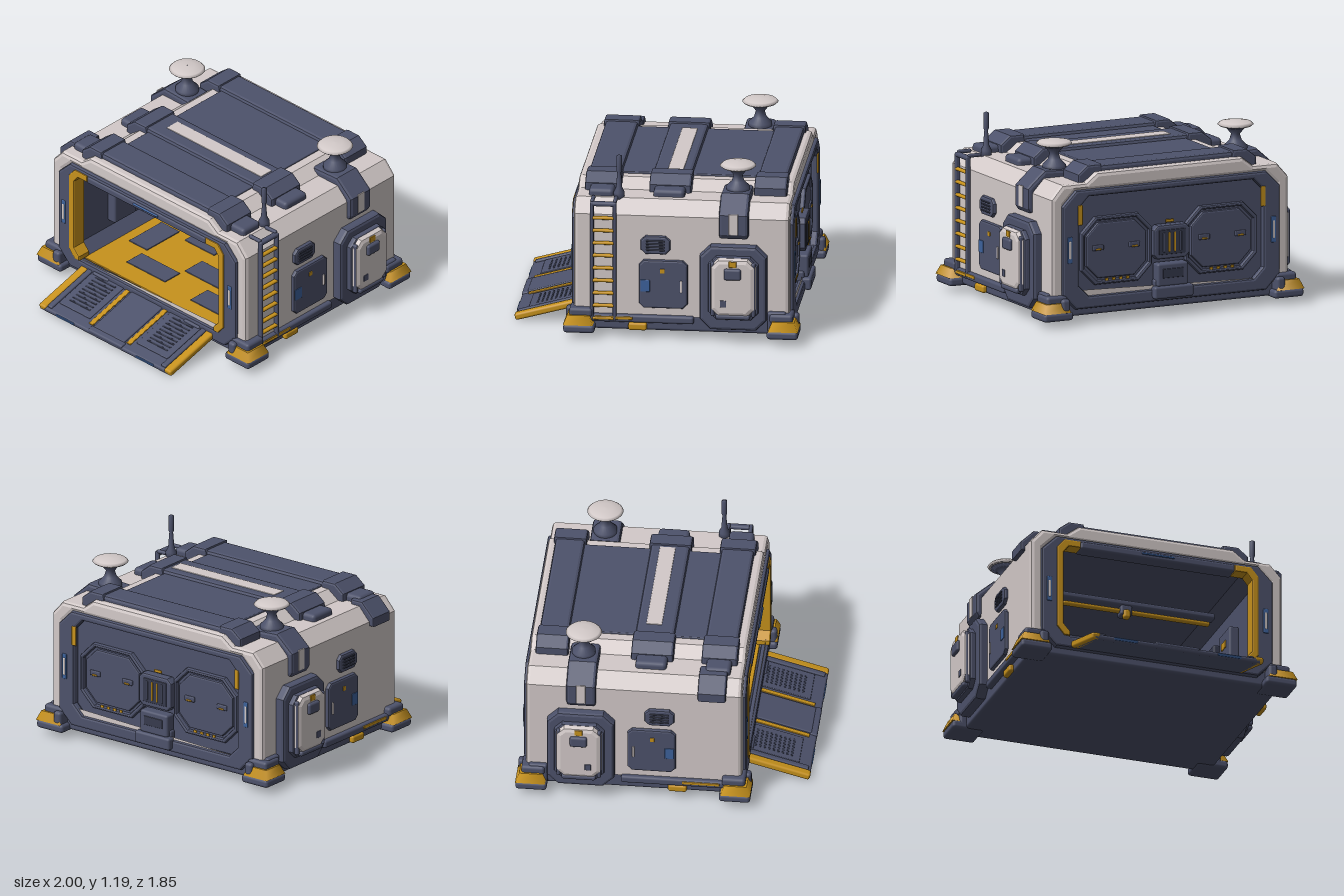
import * as THREE from 'three';
import { RoundedBoxGeometry } from 'three/addons/geometries/RoundedBoxGeometry.js';

const paint = (name, color) => Object.assign(new THREE.MeshStandardMaterial({ color }), { name });
const slate = paint('slate', 0x4d526b);
const white = paint('offWhite', 0xd3cac9);
const yellow = paint('amber', 0xc7921c);
const blue = paint('blue', 0x3d629c);
const shade = paint('darkSlate', 0x363a4d);

export function createModel() {
  const root = new THREE.Group();
  root.name = 'hangar';

  const add = (parent, name, geo, mat, x = 0, y = 0, z = 0) => {
    const m = new THREE.Mesh(geo, mat);
    m.name = name;
    m.position.set(x, y, z);
    parent.add(m);
    return m;
  };
  // softly rounded box, given by its centre
  const box = (parent, name, mat, w, h, d, x, y, z, r = 0.015) =>
    add(parent, name, new RoundedBoxGeometry(w, h, d, 2, Math.min(r, Math.min(w, h, d) * 0.45)), mat, x, y, z);
  // box given by its limits
  const span = (parent, name, mat, x0, x1, y0, y1, z0, z1, r) =>
    box(parent, name, mat, x1 - x0, y1 - y0, z1 - z0, (x0 + x1) / 2, (y0 + y1) / 2, (z0 + z1) / 2, r);
  const shapeOf = pts => new THREE.Shape(pts.map(p => new THREE.Vector2(p[0], p[1])));
  // rectangle with cut corners
  const oct = (x0, x1, y0, y1, c) => [[x0 + c, y0], [x1 - c, y0], [x1, y0 + c], [x1, y1 - c],
    [x1 - c, y1], [x0 + c, y1], [x0, y1 - c], [x0, y0 + c]];
  // bevelled outline swept from z0 to z1, optionally with a hole
  const sweep = (parent, name, mat, pts, z0, z1, bevel = 0.012, hole) => {
    const s = shapeOf(pts);
    if (hole) s.holes.push(shapeOf(hole));
    const g = new THREE.ExtrudeGeometry(s, { depth: z1 - z0 - 2 * bevel, bevelEnabled: bevel > 0,
      bevelThickness: bevel, bevelSize: bevel, bevelOffset: -bevel, bevelSegments: 2 });
    return add(parent, name, g, mat, 0, 0, z0 + bevel);
  };
  // cut-corner panel on a side wall
  const sidePanel = (name, mat, z0, z1, y0, y1, c, x, depth, bevel = 0.012) => {
    const w = z1 - z0, h = y1 - y0;
    const g = new THREE.ExtrudeGeometry(shapeOf(oct(-w / 2, w / 2, -h / 2, h / 2, c)), { depth: depth - 2 * bevel,
      bevelEnabled: bevel > 0, bevelThickness: bevel, bevelSize: bevel, bevelOffset: -bevel, bevelSegments: 2 });
    g.center().rotateY(Math.PI / 2);
    return add(root, name, g, mat, x, (y0 + y1) / 2, (z0 + z1) / 2);
  };

  // Base, shell and lining
  span(root, 'base', slate, -0.84, 0.84, 0.06, 0.17, -0.84, 0.5, 0.02);
  const outline = [[-0.85, 0.16], [0.85, 0.16], [0.85, 0.83], [0.77, 0.92], [0.6, 0.92], [0.52, 0.98],
    [-0.52, 0.98], [-0.6, 0.92], [-0.77, 0.92], [-0.85, 0.83]];
  sweep(root, 'shell', white, outline, -0.86, 0.52, 0.025, oct(-0.76, 0.76, 0.165, 0.87, 0.08));
  sweep(root, 'lining', slate, oct(-0.765, 0.765, 0.155, 0.875, 0.08), -0.83, 0.5, 0,
    oct(-0.67, 0.67, 0.17, 0.84, 0.08));
  for (const [z0, z1] of [[0.49, 0.54], [-0.88, -0.83]])
    sweep(root, 'portalFrame', slate, oct(-0.78, 0.78, 0.11, 0.88, 0.1), z0, z1, 0.015,
      oct(-0.66, 0.66, 0.19, 0.835, 0.07));
  span(root, 'backWall', slate, -0.7, 0.7, 0.15, 0.86, -0.82, -0.76);

  // Front opening trim
  for (const s of [-1, 1]) {
    const trim = [[0.52, 0.86], [0.63, 0.86], [0.68, 0.8], [0.68, 0.25], [0.63, 0.19], [0.59, 0.19],
      [0.59, 0.22], [0.635, 0.27], [0.635, 0.77], [0.6, 0.815], [0.52, 0.815]];
    sweep(root, 'openingTrim', yellow, trim.map(p => [s * p[0], p[1]]), 0.45, 0.548, 0.008);
    for (const z of [0.54, -0.88]) {
      box(root, 'pillarLamp', blue, 0.035, 0.17, 0.012, s * 0.73, 0.5, z);
      box(root, 'pillarLampCore', white, 0.02, 0.12, 0.018, s * 0.73, 0.5, z);
    }
    box(root, 'backFrameCorner', yellow, 0.035, 0.13, 0.012, s * 0.655, 0.72, -0.878);
  }
  span(root, 'headerBar', slate, -0.52, 0.52, 0.81, 0.86, 0.44, 0.55);
  box(root, 'headerLamp', blue, 0.22, 0.014, 0.012, 0, 0.84, 0.552);

  // Floor of the bay with dark worn plates
  span(root, 'bayFloor', yellow, -0.62, 0.62, 0.16, 0.182, -0.75, 0.48, 0.004);
  const worn = [[-0.4, -0.5, 0.3, 0.16], [0.15, -0.55, 0.4, 0.12], [0.42, -0.25, 0.18, 0.3], [-0.15, -0.2, 0.26, 0.2],
    [-0.45, 0, 0.16, 0.3], [0.12, 0.08, 0.3, 0.16], [-0.2, 0.27, 0.34, 0.14], [0.38, 0.3, 0.3, 0.16]];
  for (const [x, z, w, d] of worn) box(root, 'floorPlate', slate, w, 0.008, d, x, 0.184, z);

  // Wall equipment and ceiling bar inside the bay
  for (const s of [-1, 1]) for (const [i, z] of [-0.5, -0.2, 0.1].entries()) {
    box(root, 'wallCabinet', i === 1 ? shade : slate, 0.07, 0.3, 0.2, s * 0.64, 0.45, z);
    box(root, 'cabinetMark', yellow, 0.01, 0.05, 0.08, s * 0.603, 0.5, z);
  }
  span(root, 'ceilingBar', yellow, -0.42, 0.57, 0.71, 0.735, -0.1, -0.06);
  span(root, 'ceilingRail', slate, -0.6, 0.6, 0.75, 0.79, -0.12, -0.04);
  box(root, 'ceilingHook', slate, 0.08, 0.07, 0.08, 0, 0.72, -0.08);
  box(root, 'hookTip', yellow, 0.045, 0.06, 0.05, 0, 0.69, -0.05);

  // Double doors with a central console, shown on both faces of the back wall
  const doors = (z, turn) => {
    const g = new THREE.Group();
    g.name = 'doorSet';
    g.position.z = z;
    g.rotation.y = turn;
    root.add(g);
    for (const s of [-1, 1]) {
      const x0 = s > 0 ? 0.12 : -0.63, x1 = s > 0 ? 0.63 : -0.12;
      sweep(g, 'door', slate, oct(x0, x1, 0.25, 0.69, 0.1), -0.01, 0.03, 0.012,
        oct(x0 + 0.025, x1 - 0.025, 0.275, 0.665, 0.09));
      sweep(g, 'doorPanel', slate, oct(x0 + 0.04, x1 - 0.04, 0.29, 0.65, 0.085), -0.01, 0.02, 0.01);
      for (const x of [0.25, 0.51]) {
        box(g, 'doorHandle', slate, 0.08, 0.035, 0.015, s * x, 0.49, 0.025);
        box(g, 'handleMark', yellow, 0.04, 0.012, 0.01, s * x, 0.48, 0.034);
      }
      for (let i = 0; i < 4; i++) box(g, 'warningDash', yellow, 0.025, 0.018, 0.006, s * (0.3 + i * 0.05), 0.282, 0.03);
      box(g, 'consoleFoot', slate, 0.06, 0.1, 0.05, s * 0.09, 0.2, 0.03);
    }
    sweep(g, 'console', slate, oct(-0.13, 0.13, 0.38, 0.6, 0.03), 0, 0.065);
    box(g, 'consoleScreen', shade, 0.19, 0.16, 0.01, 0, 0.49, 0.064);
    for (const x of [-0.06, -0.02, 0.02, 0.06]) box(g, 'consoleBar', x * x > 0.001 ? slate : yellow, 0.014, 0.13, 0.012, x, 0.49, 0.068);
    box(g, 'consoleShelf', slate, 0.22, 0.15, 0.08, 0, 0.28, 0.04);
    box(g, 'consoleDrawer', shade, 0.15, 0.06, 0.01, 0, 0.29, 0.079);
    box(g, 'consoleLight', yellow, 0.06, 0.02, 0.01, 0, 0.62, 0.03);
  };
  doors(-0.76, 0);
  doors(-0.82, Math.PI);
  box(root, 'rearStep', slate, 0.28, 0.08, 0.06, 0, 0.17, -0.89);

  // Roof: central panel and three cross beams with end clamps
  span(root, 'roofPanel', slate, -0.46, 0.46, 0.95, 0.992, -0.65, 0.28, 0.006);
  for (const [z0, z1, reach] of [[-0.82, -0.61, 0.63], [-0.21, 0.06, 0.73], [0.24, 0.47, 0.75]]) {
    sweep(root, 'roofBeam', slate, [[-0.6, 0.9], [0.6, 0.9], [0.6, 0.975], [0.53, 1.015], [-0.53, 1.015], [-0.6, 0.975]], z0 + 0.01, z1 - 0.01, 0.02);
    for (const s of [-1, 1]) {
      const pts = [[0.45, 0.93], [0.47, 1.025], [0.57, 1.025], [0.64, 0.97], [0.64, 0.9]];
      sweep(root, 'beamClamp', slate, pts.map(p => [s * p[0], p[1]]), z0, z1, 0.015);
      if (reach > 0.7) box(root, 'beamEnd', slate, 0.16, 0.08, z1 - z0 - 0.07, s * (reach - 0.08), 0.925, (z0 + z1) / 2, 0.025);
    }
  }
  span(root, 'roofStripe', white, -0.38, 0.45, 1.012, 1.019, -0.14, -0.04, 0.003);
  sweep(root, 'cornerClamp', slate, [[-0.7, 0.9], [-0.7, 0.95], [-0.79, 0.95], [-0.88, 0.86], [-0.88, 0.8],
    [-0.84, 0.8], [-0.84, 0.83], [-0.76, 0.9]], 0.24, 0.42);

  // Everything repeated on both side walls
  for (const s of [-1, 1]) {
    // dish, its stand and bracket
    const arm = [[0.55, 0.9], [0.55, 0.96], [0.76, 0.97], [0.885, 0.86], [0.885, 0.73], [0.865, 0.7], [0.83, 0.7], [0.83, 0.84], [0.76, 0.9]];
    sweep(root, 'dishBracket', slate, arm.map(p => [s * p[0], p[1]]), -0.6, -0.41, 0.02);
    box(root, 'bracketPlate', white, 0.009, 0.14, 0.06, s * 0.884, 0.8, -0.505);
    const stand = [[0.001, 0.94], [0.075, 0.94], [0.075, 0.985], [0.04, 1.02], [0.028, 1.06], [0.06, 1.1], [0.105, 1.115], [0.001, 1.118]];
    add(root, 'dishStand', new THREE.LatheGeometry(stand.map(p => new THREE.Vector2(...p)), 24), slate, s * 0.65, 0, -0.51);
    const dish = [[0.001, 1.105], [0.1, 1.112], [0.115, 1.124], [0.1, 1.138], [0.05, 1.148], [0.001, 1.15]];
    add(root, 'dish', new THREE.LatheGeometry(dish.map(p => new THREE.Vector2(...p)), 28), white, s * 0.65, 0, -0.51);

    // equipment pod
    sidePanel('podHousing', slate, -0.72, -0.29, 0.1, 0.66, 0.07, s * 0.87, 0.08, 0.02);
    sidePanel('podRim', slate, -0.67, -0.35, 0.18, 0.6, 0.05, s * 0.915, 0.06);
    sidePanel('podCanister', white, -0.655, -0.365, 0.21, 0.595, 0.05, s * 0.925, 0.11, 0.03);
    for (const z of [-0.64, -0.38]) box(root, 'podStrap', slate, 0.06, 0.36, 0.025, s * 0.94, 0.39, z);
    box(root, 'podBottom', slate, 0.12, 0.035, 0.22, s * 0.92, 0.21, -0.51);
    box(root, 'podLatch', slate, 0.04, 0.075, 0.11, s * 0.98, 0.5, -0.51);
    box(root, 'podMark', yellow, 0.009, 0.04, 0.05, s * 0.98, 0.565, -0.51);
    box(root, 'podBadge', slate, 0.009, 0.045, 0.04, s * 0.98, 0.3, -0.45);

    // vent and hatch
    sidePanel('ventFrame', slate, -0.1, 0.09, 0.58, 0.7, 0.03, s * 0.855, 0.04);
    for (let i = 0; i < 4; i++) box(root, 'ventSlat', shade, 0.012, 0.01, 0.12, s * 0.876, 0.61 + i * 0.02, -0.005);
    sidePanel('hatch', slate, -0.21, 0.1, 0.22, 0.54, 0.03, s * 0.855, 0.04);
    box(root, 'hatchLight', blue, 0.008, 0.08, 0.06, s * 0.875, 0.37, 0.06);
    box(root, 'hatchHandle', white, 0.012, 0.08, 0.015, s * 0.876, 0.37, -0.17);
    box(root, 'hatchMark', yellow, 0.008, 0.03, 0.03, s * 0.875, 0.47, -0.05);

    // sill along the foot of the wall
    span(root, 'sill', slate, s * 0.855 - 0.025, s * 0.855 + 0.025, 0.12, 0.17, -0.25, 0.5);
    span(root, 'rearSill', slate, s * 0.855 - 0.025, s * 0.855 + 0.025, 0.06, 0.22, -0.84, -0.72);
    box(root, 'sillMark', yellow, 0.04, 0.05, 0.12, s * 0.85, 0.09, 0.11);
    box(root, 'sillStripe', yellow, 0.01, 0.02, 0.24, s * 0.879, 0.15, 0.26);

    // corner feet
    for (const [z, d] of [[0.48, 1], [-0.82, -1]]) {
      box(root, 'footPad', slate, 0.21, 0.055, 0.2, s * 0.825, 0.08, z, 0.02);
      const cone = new THREE.CylinderGeometry(0.1, 0.135, 0.06, 4).rotateY(Math.PI / 4);
      add(root, 'footCollar', cone, yellow, s * 0.835, 0.135, z + d * 0.005);
      box(root, 'footCap', slate, 0.15, 0.06, 0.15, s * 0.82, 0.18, z - d * 0.01, 0.02);
      box(root, 'footStrap', slate, 0.06, 0.1, 0.19, s * 0.77, 0.14, z, 0.02);
    }
  }

  // Ladder on the left wall, with its top hoop
  for (const z of [0.255, 0.4]) span(root, 'ladderRail', slate, 0.85, 0.885, 0.13, 0.92, z - 0.012, z + 0.012);
  for (let i = 0; i < 9; i++) box(root, 'ladderRung', yellow, 0.03, 0.02, 0.14, 0.872, 0.145 + i * 0.0835, 0.328);
  box(root, 'ladderTop', slate, 0.04, 0.03, 0.16, 0.865, 0.905, 0.328);
  for (const z of [0.255, 0.4]) box(root, 'ladderHook', slate, 0.1, 0.025, 0.025, 0.82, 0.92, z);

  // Antenna
  const mast = [[0.001, 0.9], [0.035, 0.9], [0.035, 0.95], [0.02, 0.98], [0.012, 1.08], [0.018, 1.09], [0.018, 1.19], [0.001, 1.2]];
  add(root, 'antenna', new THREE.LatheGeometry(mast.map(p => new THREE.Vector2(...p)), 14), slate, 0.745, 0, 0.24);

  // Ramp, sloping down to the ground
  const ramp = new THREE.Group();
  ramp.name = 'ramp';
  ramp.position.set(0, 0.082, 0.712);
  ramp.rotation.x = 0.27;
  root.add(ramp);
  box(ramp, 'rampDeck', slate, 1.14, 0.035, 0.44, 0, 0, 0);
  box(ramp, 'rampCentre', slate, 0.27, 0.016, 0.38, 0, 0.02, -0.01);
  box(ramp, 'rampLip', slate, 0.3, 0.03, 0.05, 0, 0.012, 0.195);
  for (const s of [-1, 1]) {
    box(ramp, 'rampEdge', yellow, 0.06, 0.045, 0.44, s * 0.55, 0.005, 0);
    box(ramp, 'rampCurb', slate, 0.04, 0.02, 0.4, s * 0.5, 0.02, 0);
    box(ramp, 'rampStripe', yellow, 0.035, 0.009, 0.36, s * 0.165, 0.02, -0.01);
    box(ramp, 'treadPlate', slate, 0.27, 0.012, 0.33, s * 0.34, 0.018, -0.03);
    for (let i = 0; i < 9; i++) box(ramp, 'treadSlot', shade, 0.18, 0.006, 0.012, s * 0.34, 0.024, -0.16 + i * 0.03);
    box(ramp, 'rampLamp', blue, 0.16, 0.02, 0.01, s * 0.35, 0.004, 0.217);
    box(ramp, 'rampHinge', slate, 0.14, 0.05, 0.06, s * 0.4, 0.01, -0.2);
  }
  return root;
}
